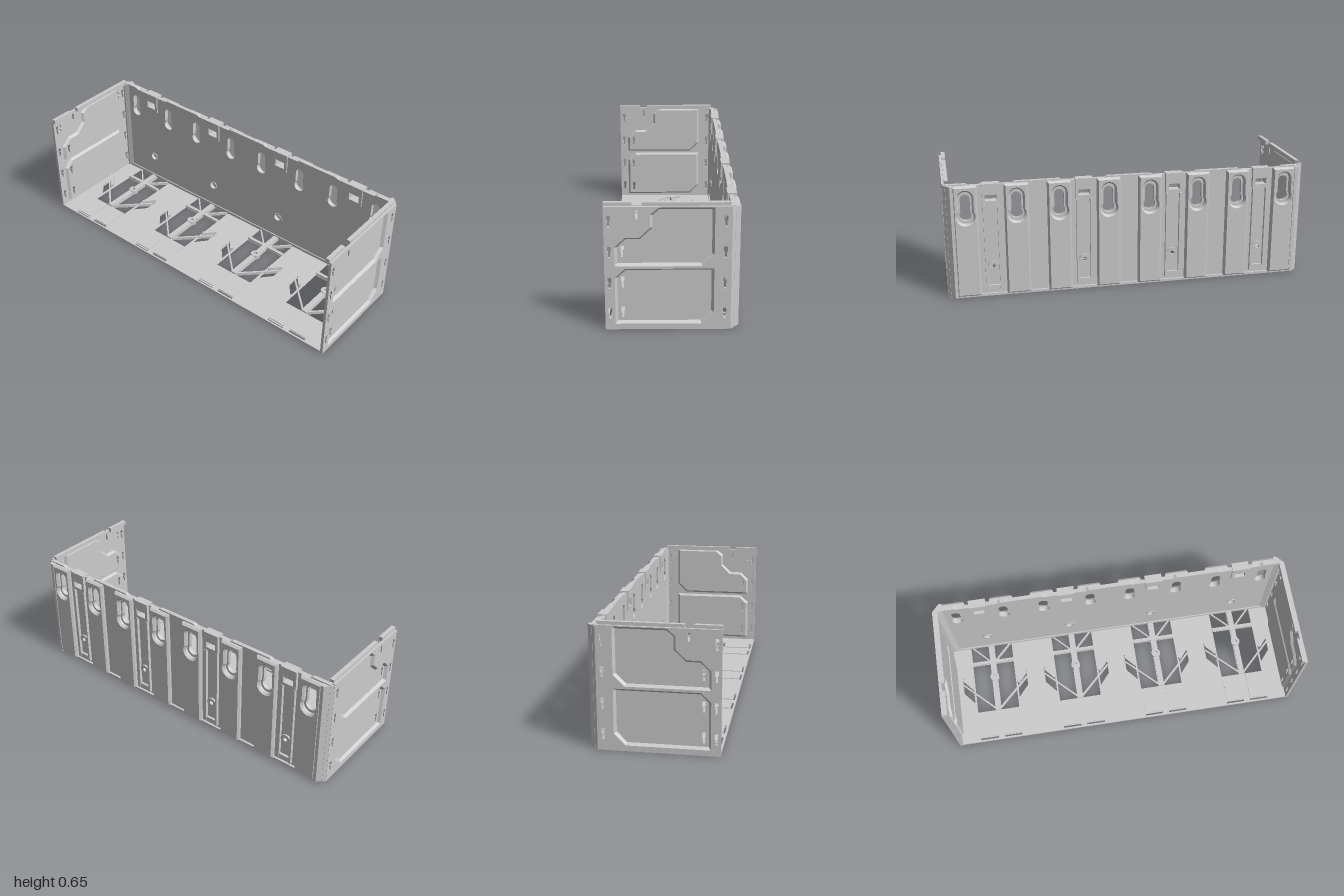
import * as THREE from 'three';

const mat = new THREE.MeshStandardMaterial({ color: 0xcccccc });
const thin = new THREE.MeshStandardMaterial({ color: 0xcccccc, side: THREE.DoubleSide, flatShading: true });
const MODULES = [-0.75, -0.25, 0.25, 0.75];

const path = pts => new THREE.Path(pts.map(p => new THREE.Vector2(p[0], p[1])));
const rect = (x0, x1, y0, y1) => path([[x0, y0], [x1, y0], [x1, y1], [x0, y1]]);
const circle = (x, y, r) => new THREE.Path().absarc(x, y, r, 0, Math.PI * 2);
const shapeOf = (outline, holes = []) => {
  const s = new THREE.Shape(outline.getPoints(8));
  s.holes = holes;
  return s;
};

export function createModel() {
  const model = new THREE.Group();
  const add = (parent, name, geo, material = mat) => {
    const m = new THREE.Mesh(geo, material);
    m.name = name;
    parent.add(m);
    return m;
  };
  const group = name => {
    const g = new THREE.Group();
    g.name = name;
    model.add(g);
    return g;
  };
  const box = (parent, name, x0, x1, y0, y1, z0, z1) =>
    add(parent, name, new THREE.BoxGeometry(Math.abs(x1 - x0), y1 - y0, z1 - z0))
      .position.set((x0 + x1) / 2, (y0 + y1) / 2, (z0 + z1) / 2);
  const extrude = (s, depth) => new THREE.ExtrudeGeometry(s, { depth, bevelEnabled: false, curveSegments: 8 });
  // Plates lying in the (x, z), (x, y) and (-z, y) planes
  const flatPlate = (parent, name, s, y0, y1) =>
    add(parent, name, extrude(s, y1 - y0).rotateX(Math.PI / 2).translate(0, y1, 0));
  const backPlate = (parent, name, s, z0, z1) =>
    add(parent, name, extrude(s, z1 - z0).translate(0, 0, z0));
  const sidePlate = (parent, name, s, xa, xb) =>
    add(parent, name, extrude(s, Math.abs(xb - xa)).rotateY(Math.PI / 2).translate(Math.min(xa, xb), 0, 0));

  buildFloor();
  buildBack();
  for (const s of [1, -1]) buildSide(s);
  return model;

  function buildFloor() {
    const floor = group('floor');
    const outline = path([[-1, 0.325], [1, 0.325], [1, -0.285], [0.965, -0.315], [-0.965, -0.315], [-1, -0.285]]);
    const holes = [];
    for (const c of MODULES) for (const s of [1, -1]) {
      const X = d => c + s * d;
      holes.push(
        rect(X(0.018), X(0.125), -0.278, -0.18),
        rect(X(0.018), X(0.125), -0.157, 0.142),
        rect(X(0.018), X(0.125), 0.304, 0.315),
        path([[X(0.195), -0.09], [X(0.135), -0.02], [X(0.135), 0.08], [X(0.195), 0.01]]));
    }
    // Underside grooves between the modules
    const grooves = [-0.5, 0, 0.5].flatMap(c => [-0.03, 0.03].map(d => rect(c + d - 0.01, c + d + 0.01, -0.26, 0.32)));
    flatPlate(floor, 'floorSheet', shapeOf(outline, holes), 0.006, 0.013);
    flatPlate(floor, 'floorUnderside', shapeOf(outline, holes.concat(grooves)), 0, 0.006);
    box(floor, 'rearStrip', -0.97, 0.97, 0.01, 0.03, -0.282, -0.274);

    for (const c of MODULES) {
      box(floor, 'centreRib', c - 0.016, c + 0.016, 0.002, 0.022, -0.28, -0.095);
      box(floor, 'centreRib', c - 0.016, c + 0.016, 0.002, 0.022, -0.045, 0.142);
      box(floor, 'crossRib', c - 0.125, c + 0.125, 0.002, 0.022, -0.178, -0.159);
      flatPlate(floor, 'screwRing', shapeOf(circle(c, -0.07, 0.027), [circle(c, -0.07, 0.012)]), 0, 0.026);
      for (const s of [1, -1]) {
        box(floor, 'frontPad', c + s * 0.02, c + s * 0.123, 0.01, 0.017, 0.15, 0.3);
        // Diagonal braces across the windows and raised tabs over the slots
        const brace = (name, x0, z0, x1, z1, w, y0, y1) => {
          const dx = s * (x1 - x0), dz = z1 - z0;
          const b = add(floor, name, new THREE.BoxGeometry(Math.hypot(dx, dz), y1 - y0, w));
          b.position.set(c + s * (x0 + x1) / 2, (y0 + y1) / 2, (z0 + z1) / 2);
          b.rotation.y = -Math.atan2(dz, dx);
        };
        brace('rearBrace', 0.12, -0.28, 0.02, -0.178, 0.009, 0, 0.018);
        brace('frontBrace', 0.195, -0.045, 0.015, 0.13, 0.01, 0, 0.018);
        brace('slotTab', 0.192, -0.075, 0.137, -0.012, 0.016, 0.008, 0.03);
      }
    }
  }

  // Keyhole: narrow rounded slot above a wider round hole
  function keyhole(x, y, r, w, top) {
    const p = new THREE.Path(), a = Math.asin(w / r);
    p.absarc(x, y, r, Math.PI / 2 + a, Math.PI / 2 - a + Math.PI * 2, false);
    p.absarc(x, top - w, w, 0, Math.PI, false);
    return p;
  }

  function buildBack() {
    const back = group('backWall');
    const pts = [[-0.985, 0], [0.985, 0], [0.985, 0.637]];
    for (const c of [...MODULES].reverse())
      pts.push([c + 0.13, 0.637], [c + 0.115, 0.629], [c - 0.115, 0.629], [c - 0.13, 0.637]);
    pts.push([-0.985, 0.637]);
    const holes = [];
    for (const c of MODULES) {
      holes.push(rect(c - 0.031, c + 0.031, 0.538, 0.588), circle(c, 0.17, 0.026));
      for (const s of [1, -1]) holes.push(keyhole(c + s * 0.135, 0.466, 0.032, 0.026, 0.58));
    }
    backPlate(back, 'backPlate', shapeOf(path(pts), holes), -0.302, -0.28);

    for (const c of MODULES) {
      // Raised vertical pads with a pocket round each keyhole
      for (const s of [1, -1]) {
        const x = c + s * 0.135;
        const pad = shapeOf(rect(x - 0.065, x + 0.065, 0.008, 0.63), [keyhole(x, 0.462, 0.042, 0.035, 0.6)]);
        add(back, 'rearPad', new THREE.ExtrudeGeometry(pad, {
          depth: 0.012, bevelThickness: 0.012, bevelSize: 0.009, bevelOffset: -0.009, bevelSegments: 1, curveSegments: 8,
        }).translate(0, 0, -0.315));
        box(back, 'rearRail', c + s * 0.032, c + s * 0.044, 0.03, 0.52, -0.32, -0.3);
      }
      // Clip frame at the top and screw seat below
      backPlate(back, 'clipFrame', shapeOf(rect(c - 0.048, c + 0.048, 0.524, 0.636),
        [rect(c - 0.031, c + 0.031, 0.542, 0.585)]), -0.32, -0.272);
      box(back, 'clipBar', c - 0.031, c + 0.031, 0.575, 0.587, -0.318, -0.3);
      backPlate(back, 'screwSeat', shapeOf(circle(c, 0.17, 0.03), [circle(c, 0.17, 0.012)]), -0.312, -0.3);
      backPlate(back, 'screwCollar', shapeOf(circle(c, 0.17, 0.03), [circle(c, 0.17, 0.022)]), -0.282, -0.276);
      box(back, 'railFoot', c - 0.044, c + 0.044, 0.03, 0.06, -0.316, -0.3);
    }
    // Chamfered corner posts
    for (const s of [1, -1])
      flatPlate(back, 'cornerPost', shapeOf(path([[1, -0.284], [0.962, -0.327], [0.945, -0.327], [0.945, -0.28],
        [0.975, -0.27], [1, -0.27]].map(([x, z]) => [s * x, z]))), 0.004, 0.632);
  }

  // Moves every edge of a counter-clockwise polygon inwards by d
  function inset(pts, d) {
    return pts.map((p, i) => {
      const a = pts[(i + pts.length - 1) % pts.length], b = pts[(i + 1) % pts.length];
      const n = (u, v) => new THREE.Vector2(u[1] - v[1], v[0] - u[0]).normalize();
      const n0 = n(a, p), n1 = n(p, b), k = d / (1 + n0.dot(n1));
      return [p[0] + (n0.x + n1.x) * k, p[1] + (n0.y + n1.y) * k];
    });
  }

  // Sloping band between two outlines at different x
  function slope(outer, inner, xo, xi) {
    const pos = [], idx = [], n = outer.length;
    for (let i = 0; i < n; i++) {
      pos.push(xo, outer[i][1], -outer[i][0], xi, inner[i][1], -inner[i][0]);
      const a = 2 * i, b = 2 * ((i + 1) % n);
      idx.push(a, b, a + 1, b, b + 1, a + 1);
    }
    const g = new THREE.BufferGeometry();
    g.setAttribute('position', new THREE.Float32BufferAttribute(pos, 3));
    g.setIndex(idx);
    g.computeVertexNormals();
    return g;
  }

  function buildSide(s) {
    const side = group(s > 0 ? 'leftSide' : 'rightSide');
    // Stepped slot: wide above, narrow below
    const slot = (z, y) => path([[-z - 0.005, y - 0.032], [-z + 0.005, y - 0.032], [-z + 0.005, y - 0.005],
      [-z + 0.009, y], [-z + 0.009, y + 0.025], [-z - 0.009, y + 0.025], [-z - 0.009, y], [-z - 0.005, y - 0.005]]);
    const rows = [0.09, 0.25, 0.41, 0.568];
    const panels = [
      [[-0.277, 0.03], [0.143, 0.03], [0.202, 0.09], [0.202, 0.322], [-0.228, 0.322], [-0.277, 0.275]],
      [[-0.277, 0.335], [0.143, 0.335], [0.202, 0.392], [0.202, 0.633], [-0.065, 0.633], [-0.105, 0.597],
        [-0.105, 0.533], [-0.158, 0.482], [-0.227, 0.482], [-0.277, 0.433]],
    ];
    const holes = panels.map(path).concat(rows.flatMap(y => [slot(0.303, y), slot(-0.255, y)]));
    holes.push(rect(-0.175, -0.163, 0.575, 0.62));
    sidePlate(side, 'sideSheet', shapeOf(path([[-0.322, 0], [0.285, 0], [0.285, 0.638], [-0.327, 0.638], [-0.327, 0.006]]), holes),
      s * 0.985, s);

    // Recessed panels with sloping borders
    panels.forEach((outer, i) => {
      const inner = inset(outer, 0.012);
      const slots = (i ? [rows[2]] : [rows[0], rows[1]]).map(y => slot(0.24, y));
      sidePlate(side, 'recessedPanel', shapeOf(path(inner), slots), s * 0.971, s * 0.984);
      add(side, 'panelBorder', slope(outer, inner, s, s * 0.984), thin);
      add(side, 'panelInnerBorder', slope(outer, inner, s * 0.985, s * 0.971), thin);
    });

    // Top lip in two lengths with a small latch, and clip bumps
    const lip = pts => sidePlate(side, 'topLip', shapeOf(path(pts)), s * 0.966, s * 0.988);
    lip([[-0.327, 0.63], [-0.193, 0.63], [-0.193, 0.655], [-0.327, 0.655]]);
    lip([[-0.145, 0.63], [0.27, 0.63], [0.28, 0.655], [-0.145, 0.655]]);
    for (const z of [0.272, -0.223]) {
      box(side, 'clipBump', s * 0.975, s * 1, 0.585, 0.6, z - 0.008, z + 0.008);
      box(side, 'clipBump', s * 0.975, s * 1, 0.556, 0.568, z - 0.008, z + 0.008);
    }
  }
}
